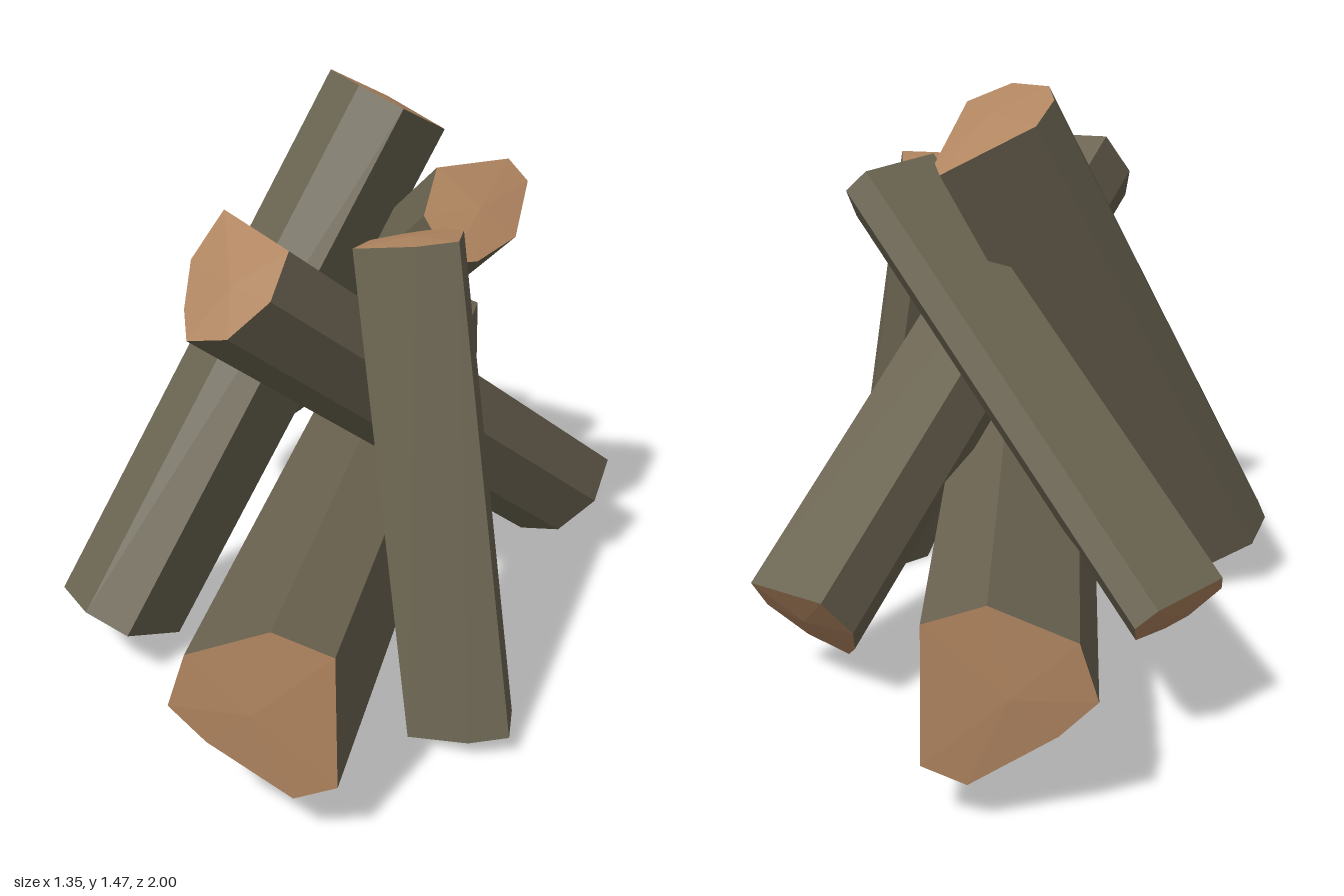
import * as THREE from 'three';

const bark = new THREE.MeshStandardMaterial({ color: 0x6a6350 });
bark.name = 'bark';
const cutWood = new THREE.MeshStandardMaterial({ color: 0xb08560 });
cutWood.name = 'cutWood';

// Each log: centre of one end, shift to the other end, and the rough end outline
// projected on the xy plane (drop 'z') or on the xz plane (drop 'y').
const LOGS = [
  { name: 'baseLog', drop: 'z', end: [-0.045, 0.35, 0.99], shift: [0.105, -0.02, -1.98],
    outline: [[-0.235, 0.343], [-0.193, 0.48], [0, 0.565], [0.14, 0.52], [0.145, 0.185], [0.045, 0.14], [-0.15, 0.26]] },
  { name: 'rightLeaningLog', drop: 'y', end: [0.08, 1.405, -0.1], shift: [-0.615, -1.255, 0.455],
    outline: [[-0.065, -0.165], [-0.02, -0.238], [0.205, -0.245], [0.217, -0.185], [0.14, 0.018], [0.03, 0], [-0.055, -0.095]] },
  { name: 'crossingLog', drop: 'z', end: [-0.17, 1.145, 0.52], shift: [0.715, -0.925, -0.89],
    outline: [[-0.293, 1.16], [-0.225, 1.265], [-0.042, 1.242], [-0.07, 1.15], [-0.165, 1.06], [-0.27, 1.027], [-0.29, 1.075]] },
  { name: 'backLog', drop: 'z', end: [0.33, 1.19, 0.06], shift: [-0.66, -0.85, -0.67],
    outline: [[0.225, 1.285], [0.385, 1.27], [0.435, 1.22], [0.42, 1.125], [0.34, 1.1], [0.28, 1.11], [0.21, 1.205]] },
  { name: 'frontLog', drop: 'y', end: [0.195, 1.19, 0.275], shift: [0.175, -1.16, 0.237],
    outline: [[0.07, 0.345], [0.095, 0.24], [0.165, 0.185], [0.25, 0.15], [0.31, 0.21], [0.315, 0.365], [0.22, 0.39]] },
];

// Unshared triangles keep every facet flat.
function facets(triangles, material, name) {
  const geometry = new THREE.BufferGeometry().setFromPoints(triangles);
  geometry.computeVertexNormals();
  const mesh = new THREE.Mesh(geometry, material);
  mesh.name = name;
  return mesh;
}

function makeLog({ name, drop, end, shift, outline }) {
  const centre = new THREE.Vector3(...end);
  const along = new THREE.Vector3(...shift);
  const axis = along.clone().normalize();

  // Lift the outline onto the plane square to the log.
  const near = outline.map(([a, b]) => {
    const p = drop === 'z' ? new THREE.Vector3(a, b, end[2]) : new THREE.Vector3(a, end[1], b);
    p[drop] -= p.clone().sub(centre).dot(axis) / axis[drop];
    return p;
  });

  // Make the outline run counter-clockwise about the axis.
  const turn = new THREE.Vector3();
  near.forEach((p, i) => {
    const q = near[(i + 1) % near.length];
    turn.add(p.clone().sub(centre).cross(q.clone().sub(centre)));
  });
  if (turn.dot(axis) < 0) near.reverse();
  const far = near.map((p) => p.clone().add(along));

  // Cut faces bulge very slightly at the heart of the log.
  const nearHeart = centre.clone().addScaledVector(axis, -0.008);
  const farHeart = centre.clone().add(along).addScaledVector(axis, 0.008);

  const sides = [], nearCap = [], farCap = [];
  for (let i = 0; i < near.length; i++) {
    const j = (i + 1) % near.length;
    sides.push(near[i], near[j], far[j], near[i], far[j], far[i]);
    nearCap.push(nearHeart, near[j], near[i]);
    farCap.push(farHeart, far[i], far[j]);
  }

  const log = new THREE.Group();
  log.name = name;
  log.add(
    facets(sides, bark, name + 'Bark'),
    facets(nearCap, cutWood, name + 'FirstCut'),
    facets(farCap, cutWood, name + 'SecondCut'),
  );
  return log;
}

export function createModel() {
  const group = new THREE.Group();
  group.name = 'logPile';
  LOGS.forEach((log) => group.add(makeLog(log)));
  return group;
}
